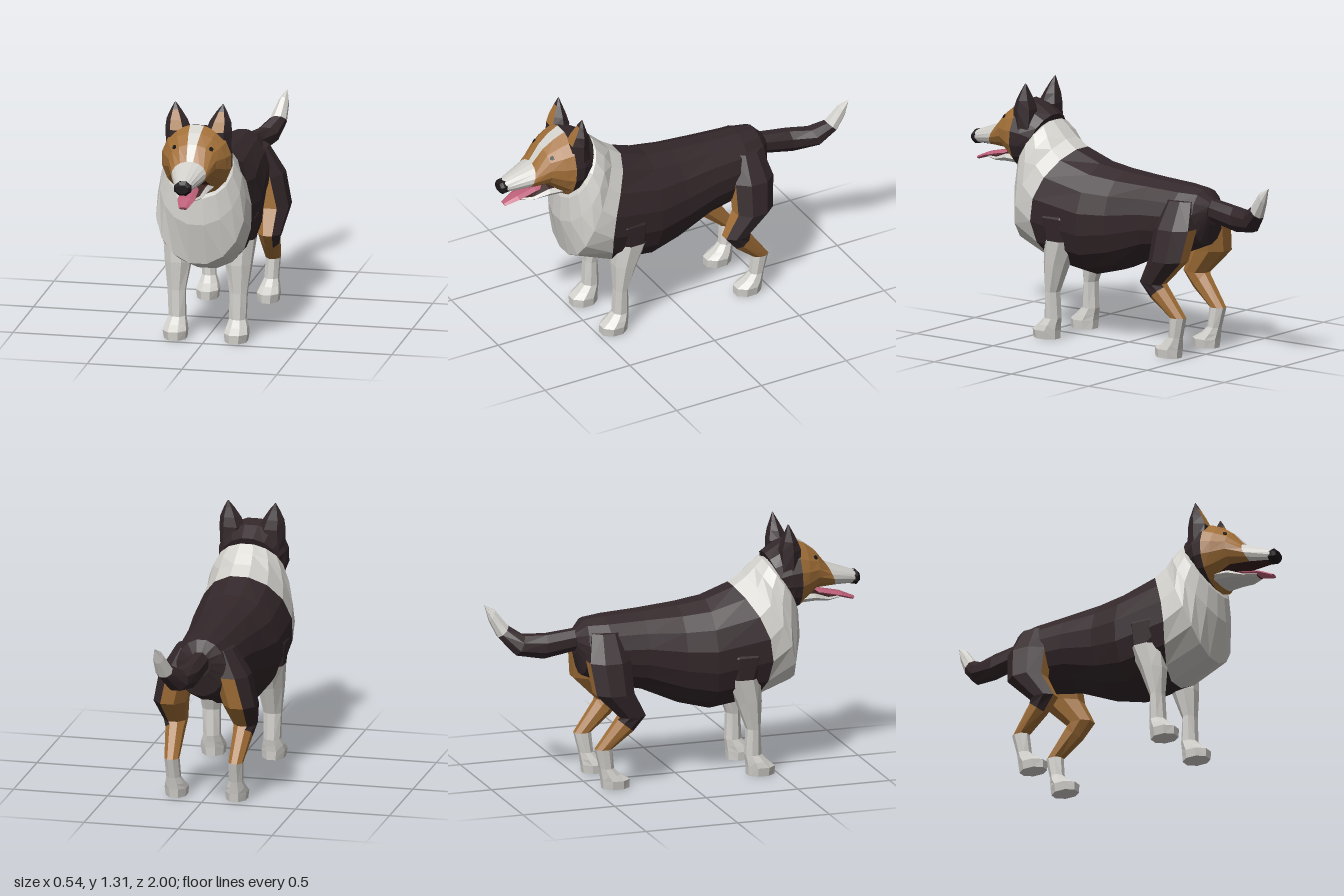
import * as THREE from 'three';

const paint = (name, color) => {
  const m = new THREE.MeshStandardMaterial({ color });
  m.name = name;
  return m;
};
const DARK = paint('dark brown fur', 0x33272a);
const WHITE = paint('white fur', 0xd2d0cb);
const TAN = paint('tan fur', 0xa37038);
const BLACK = paint('nose and eye black', 0x1c1618);
const MOUTH = paint('mouth lining', 0x38211f);
const PINK = paint('tongue pink', 0xbd6079);

// Ring standing across z, given its top and bottom [z, y]; face 0 is on top, then turns to +x.
function crossRing(n, top, bottom, rx, cx = 0, bulge = 0) {
  const step = (Math.PI * 2) / n, k = 1 / Math.cos(step / 2);
  return Array.from({ length: n }, (_, j) => {
    const a = (j - 0.5) * step, t = (1 - k * Math.cos(a)) / 2, s = Math.sin(a);
    return new THREE.Vector3(
      cx + rx * k * s,
      top[1] + (bottom[1] - top[1]) * t,
      top[0] + (bottom[0] - top[0]) * t + bulge * s * s);
  });
}

// Level ring around y; face 0 points forward, then turns to -x. Tilt raises the front.
function levelRing(n, y, cx, cz, rx, rz, tilt = 0) {
  const step = (Math.PI * 2) / n, k = 1 / Math.cos(step / 2);
  return Array.from({ length: n }, (_, j) => {
    const a = (j - 0.5) * step, dz = rz * k * Math.cos(a);
    return new THREE.Vector3(cx - rx * k * Math.sin(a), y + tilt * dz, cz + dz);
  });
}

// Skins a row of rings with flat faces; pick(band, face) gives the colour, side -1 mirrors in x.
function loft(name, rings, pick, side = 1) {
  const buckets = new Map(), n = rings[0].length;
  const add = (mat, ...pts) => {
    if (!buckets.has(mat)) buckets.set(mat, []);
    if (side < 0) pts.reverse();
    for (const p of pts) buckets.get(mat).push(p.x * side, p.y, p.z);
  };
  const middle = (r) => r.reduce((s, p) => s.add(p), new THREE.Vector3()).divideScalar(n);
  const last = rings.length - 1, start = middle(rings[0]), end = middle(rings[last]);
  for (let j = 0; j < n; j++) {
    const q = (j + 1) % n;
    for (let i = 0; i < last; i++) {
      const a = rings[i][j], b = rings[i][q], c = rings[i + 1][q], d = rings[i + 1][j];
      add(pick(i, j), a, d, c);
      add(pick(i, j), a, c, b);
    }
    add(pick(0, 0), start, rings[0][j], rings[0][q]);
    add(pick(last - 1, 0), end, rings[last][q], rings[last][j]);
  }
  const geo = new THREE.BufferGeometry(), all = [], mats = [];
  for (const [mat, list] of buckets) {
    geo.addGroup(all.length / 3, list.length / 3, mats.length);
    mats.push(mat);
    for (const v of list) all.push(v);
  }
  geo.setAttribute('position', new THREE.Float32BufferAttribute(all, 3));
  geo.computeVertexNormals();
  const mesh = new THREE.Mesh(geo, mats);
  mesh.name = name;
  return mesh;
}

const cross = (n, rows) => rows.map((r) => crossRing(n, ...r));
const level = (n, rows) => rows.map((r) => levelRing(n, ...r));

export function createModel() {
  const dog = new THREE.Group();
  dog.name = 'dog';

  // Barrel, chest and white ruff, from rump to throat
  dog.add(loft('body', cross(16, [
    [[-0.555, 0.82], [-0.55, 0.69], 0.06],
    [[-0.50, 0.875], [-0.52, 0.58], 0.13],
    [[-0.40, 0.885], [-0.35, 0.51], 0.17],
    [[-0.20, 0.895], [-0.20, 0.48], 0.187],
    [[0.00, 0.91], [0.00, 0.39], 0.213],
    [[0.15, 0.93], [0.17, 0.345], 0.242],
    [[0.30, 0.985], [0.38, 0.375], 0.247, 0, 0.11],
    [[0.37, 1.03], [0.61, 0.46], 0.232, 0, 0.05],
    [[0.42, 1.075], [0.658, 0.68], 0.212],
    [[0.465, 1.115], [0.652, 0.82], 0.175],
    [[0.52, 1.10], [0.63, 0.88], 0.13],
  ]), (i) => (i < 6 ? DARK : WHITE)));

  // Skull and upper muzzle: hood, tan face with a blaze, white snout
  dog.add(loft('head', cross(16, [
    [[0.48, 1.14], [0.60, 0.87], 0.15],
    [[0.56, 1.19], [0.615, 0.85], 0.178],
    [[0.63, 1.208], [0.645, 0.84], 0.183],
    [[0.69, 1.18], [0.675, 0.87], 0.163],
    [[0.75, 1.135], [0.75, 0.93], 0.125],
    [[0.81, 1.06], [0.86, 0.935], 0.09],
    [[0.975, 1.0], [0.975, 0.932], 0.042],
  ]), (i, j) => {
    if (i < 2) return DARK;
    if (i > 2 && Math.abs(j - 8) < 2) return MOUTH;
    return i === 5 || j === 0 ? WHITE : TAN;
  }));

  dog.add(loft('nose', cross(8, [
    [[0.955, 1.0], [0.955, 0.93], 0.042],
    [[0.985, 1.0], [0.985, 0.927], 0.045],
    [[1.0, 0.985], [1.0, 0.94], 0.032],
  ]), () => BLACK));

  dog.add(loft('lowerJaw', cross(10, [
    [[0.63, 0.93], [0.63, 0.86], 0.10],
    [[0.74, 0.925], [0.74, 0.862], 0.085],
    [[0.82, 0.887], [0.82, 0.858], 0.064],
    [[0.89, 0.88], [0.885, 0.863], 0.032],
  ]), (i, j) => (j < 2 || j > 8 ? MOUTH : WHITE)));

  dog.add(loft('tongue', cross(6, [
    [[0.70, 0.925], [0.70, 0.90], 0.03],
    [[0.80, 0.915], [0.80, 0.89], 0.037],
    [[0.90, 0.892], [0.895, 0.868], 0.04],
    [[0.975, 0.86], [0.965, 0.846], 0.02],
  ]), () => PINK));

  // Tail, from white tip to root
  dog.add(loft('tail', cross(8, [
    [[-1.0, 0.957], [-0.995, 0.948], 0.004, 0.122],
    [[-0.945, 0.93], [-0.975, 0.875], 0.026, 0.115],
    [[-0.88, 0.845], [-0.935, 0.79], 0.042, 0.097],
    [[-0.81, 0.80], [-0.855, 0.70], 0.06, 0.05],
    [[-0.70, 0.805], [-0.72, 0.68], 0.051, 0.012],
    [[-0.55, 0.822], [-0.56, 0.71], 0.05],
    [[-0.47, 0.80], [-0.47, 0.73], 0.04],
  ]), (i) => (i < 2 ? WHITE : DARK)));

  for (const side of [1, -1]) {
    const label = side > 0 ? 'left' : 'right';

    // Front leg: white up to the elbow, dark shoulder
    dog.add(loft(label + 'FrontLeg', level(8, [
      [0, 0.16, 0.41, 0.056, 0.07],
      [0.045, 0.162, 0.41, 0.062, 0.072],
      [0.075, 0.162, 0.39, 0.055, 0.056],
      [0.11, 0.16, 0.37, 0.043, 0.042],
      [0.25, 0.163, 0.37, 0.046, 0.035],
      [0.40, 0.16, 0.345, 0.067, 0.065],
      [0.53, 0.16, 0.31, 0.08, 0.09],
      [0.65, 0.165, 0.32, 0.085, 0.13],
      [0.77, 0.13, 0.31, 0.06, 0.09],
    ]), (i) => (i < 6 ? WHITE : DARK), side));

    // Hind leg: white foot, tan hock and inner thigh, dark outer thigh
    dog.add(loft(label + 'HindLeg', level(8, [
      [0, 0.16, -0.38, 0.052, 0.07],
      [0.045, 0.16, -0.382, 0.058, 0.073],
      [0.075, 0.162, -0.41, 0.048, 0.05],
      [0.11, 0.165, -0.43, 0.036, 0.036],
      [0.215, 0.17, -0.448, 0.036, 0.044],
      [0.338, 0.18, -0.337, 0.048, 0.042, -0.8],
      [0.385, 0.185, -0.30, 0.058, 0.07],
      [0.515, 0.185, -0.398, 0.085, 0.102],
      [0.68, 0.145, -0.412, 0.09, 0.11],
      [0.82, 0.09, -0.41, 0.06, 0.08],
    ]), (i, j) => {
      if (i < 4) return WHITE;
      return i > 7 || (i > 4 && j >= 5) ? DARK : TAN;
    }, side));

    // Ear with tan inner face
    dog.add(loft(label + 'Ear', level(6, [
      [1.06, 0.125, 0.59, 0.04, 0.05],
      [1.175, 0.107, 0.59, 0.06, 0.05],
      [1.225, 0.115, 0.585, 0.048, 0.035],
      [1.275, 0.121, 0.58, 0.024, 0.016],
      [1.312, 0.126, 0.575, 0.002, 0.002],
    ]), (i, j) => (j === 0 && (i === 1 || i === 2) ? TAN : DARK), side));

    // Eye
    const eye = new THREE.Mesh(new THREE.CylinderGeometry(0.012, 0.012, 0.009, 6), BLACK);
    eye.name = label + 'Eye';
    eye.position.set(0.097 * side, 1.112, 0.735);
    eye.quaternion.setFromUnitVectors(
      new THREE.Vector3(0, 1, 0), new THREE.Vector3(0.6 * side, 0.5, 0.62).normalize());
    dog.add(eye);
  }
  return dog;
}
